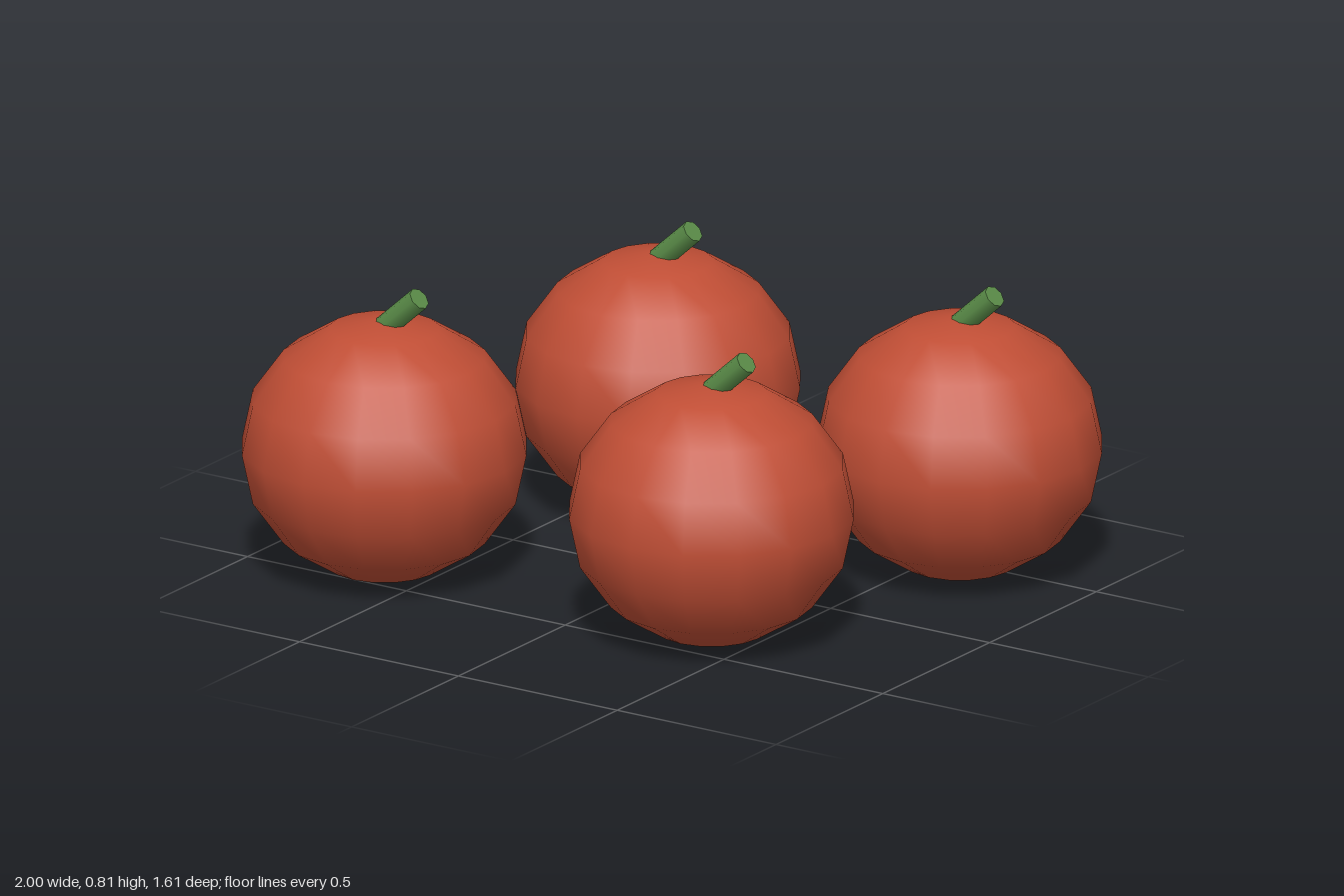
import * as THREE from 'three';

export function createModel() {
  const model = new THREE.Group();
  const skin = new THREE.MeshStandardMaterial({ color: 0xc04e35 });
  const green = new THREE.MeshStandardMaterial({ color: 0x5a8c48 });

  // Slightly flattened low-poly fruit body
  const bodyGeometry = new THREE.SphereGeometry(0.379, 16, 8);
  bodyGeometry.scale(1, 0.934, 1);

  // Short stem leaning to +x, its foot sunk into the body
  const foot = new THREE.Vector3(-0.015, 0.316, 0);
  const tip = new THREE.Vector3(0.11, 0.429, 0);
  const lean = tip.clone().sub(foot);
  const stemGeometry = new THREE.CylinderGeometry(0.031, 0.031, lean.length(), 8);

  function makeFruit(name, x, z) {
    const fruit = new THREE.Group();
    fruit.name = name;
    const body = new THREE.Mesh(bodyGeometry, skin);
    body.name = 'fruitBody';
    const stem = new THREE.Mesh(stemGeometry, green);
    stem.name = 'stem';
    stem.position.copy(foot).add(tip).multiplyScalar(0.5);
    stem.rotation.z = -Math.atan2(lean.x, lean.y);
    fruit.add(body, stem);
    fruit.position.set(x, 0.36, z);
    model.add(fruit);
  }

  makeFruit('frontRightFruit', -0.62, 0.425);
  makeFruit('frontLeftFruit', 0.38, 0.38);
  makeFruit('backRightFruit', -0.333, -0.43);
  makeFruit('backLeftFruit', 0.617, -0.43);
  return model;
}
